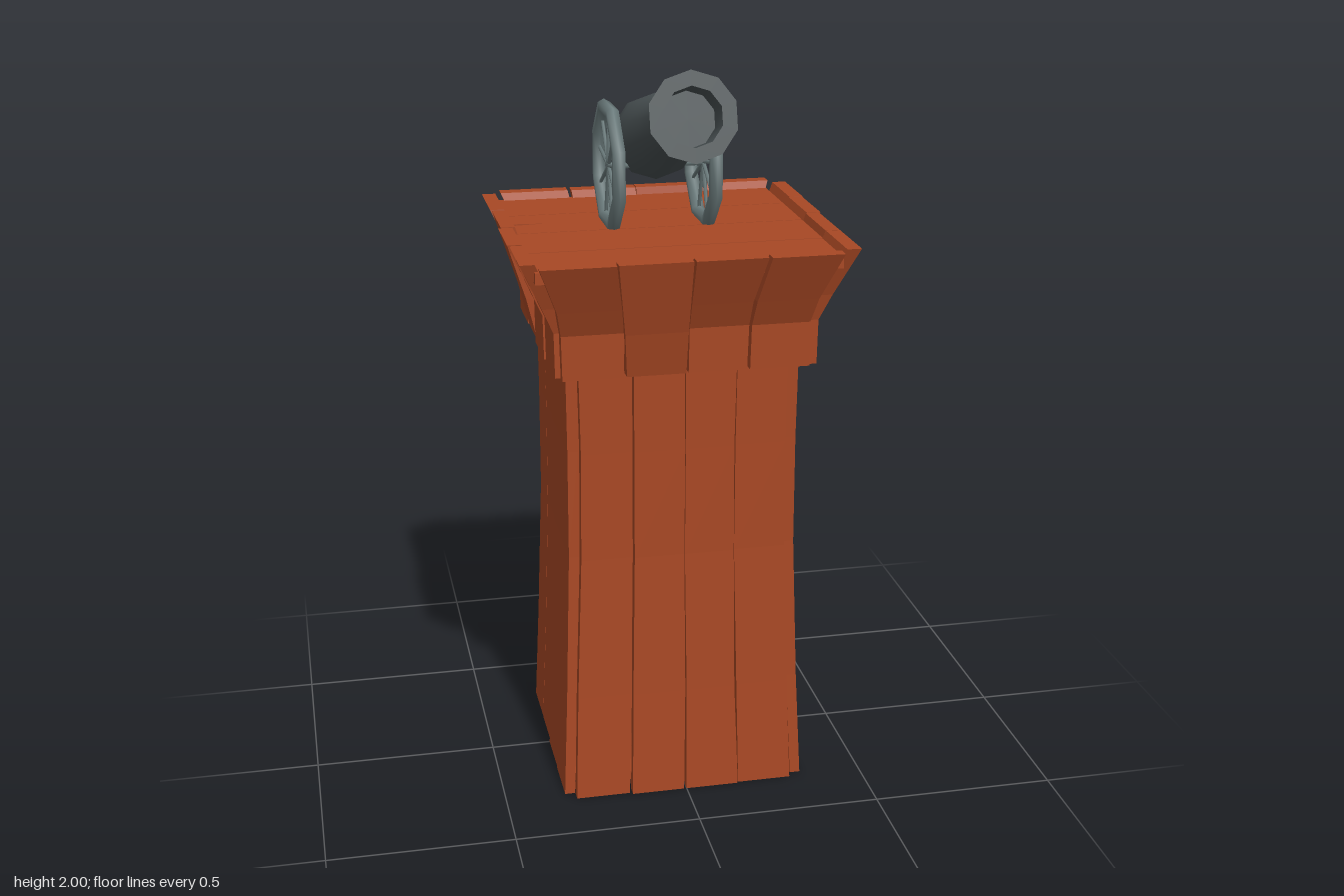
import * as THREE from 'three';
import { toCreasedNormals } from 'three/addons/utils/BufferGeometryUtils.js';

const named = (color, name) => {
  const m = new THREE.MeshStandardMaterial({ color });
  m.name = name;
  return m;
};

// small seeded generator for the uneven plank edges, range -1..1
let seed = 7;
const jitter = (amount) => {
  seed = (seed * 16807) % 2147483647;
  return (seed / 2147483647 * 2 - 1) * amount;
};

function add(parent, geometry, material, name) {
  const mesh = new THREE.Mesh(geometry, material);
  mesh.name = name;
  parent.add(mesh);
  return mesh;
}

// Bent board facing +z; each level is [y, leftX, rightX, outerZ, thickness]
function boardGeometry(levels) {
  const pos = [], idx = [];
  for (const [y, l, r, z, t] of levels) {
    pos.push(l, y, z, r, y, z, r, y, z - t, l, y, z - t);
  }
  for (let k = 0; k < levels.length - 1; k++) {
    for (let i = 0; i < 4; i++) {
      const a = k * 4 + i, b = k * 4 + (i + 1) % 4;
      idx.push(a, b, b + 4, a, b + 4, a + 4);
    }
  }
  const e = (levels.length - 1) * 4;
  idx.push(0, 2, 1, 0, 3, 2, e, e + 1, e + 2, e, e + 2, e + 3);
  const g = new THREE.BufferGeometry();
  g.setAttribute('position', new THREE.Float32BufferAttribute(pos, 3));
  g.setIndex(idx);
  const flat = g.toNonIndexed();
  flat.computeVertexNormals();
  return flat;
}

// Horizontal board from an [x, z] outline, with its top at y
function floorGeometry(outline, y, thickness) {
  const shape = new THREE.Shape(outline.map(([x, z]) => new THREE.Vector2(x, -z)));
  const g = new THREE.ExtrudeGeometry(shape, { depth: thickness, bevelEnabled: false });
  g.rotateX(-Math.PI / 2);
  g.translate(0, y - thickness, 0);
  return g;
}

export function createModel() {
  seed = 7;
  const model = new THREE.Group();
  model.name = 'cannonTower';
  const wood = named(0xa84824, 'reddish wood');
  const iron = named(0x485052, 'dark iron');
  const steel = named(0x6c7c7d, 'grey steel');

  // Tower walls: four sides of four slightly curved planks
  const edges = [-1, -0.5, -0.01, 0.47, 0.96];
  const wallLevels = [[0, 0.312, 0.333], [0.3, 0.298, 0.32], [0.7, 0.284, 0.307], [1.0, 0.282, 0.306], [1.3, 0.286, 0.309]];
  // Crown planks: most have a kink above the lower band, one slopes straight
  const kinked = [[1.22, 0.335, 0.345], [1.34, 0.335, 0.347], [1.41, 0.35, 0.378], [1.54, 0.4, 0.438]];
  const straight = [[1.22, 0.335, 0.343], [1.34, 0.345, 0.372], [1.54, 0.4, 0.435]];

  for (let s = 0; s < 4; s++) {
    const side = new THREE.Group();
    side.name = 'towerSide';
    side.rotation.y = s * Math.PI / 2;
    model.add(side);
    for (let p = 0; p < 4; p++) {
      const lean = jitter(0.004);
      const wall = wallLevels.map(([y, half, out]) => [
        y, edges[p] * half + 0.002 + jitter(0.003), edges[p + 1] * half - 0.002 + jitter(0.003), out + lean, 0.028]);
      add(side, boardGeometry(wall), wood, 'wallPlank');

      const push = jitter(0.005);
      const crown = (p === 1 ? straight : kinked).map(([y, half, out]) => [
        y, edges[p] * half + 0.003 + jitter(0.003), edges[p + 1] * half - 0.003 + jitter(0.003), out + push, 0.038]);
      add(side, boardGeometry(crown), wood, 'crownPlank');
    }
  }

  // Top floor, two boards with split ends
  const rows = [[-0.4, -0.207], [-0.203, -0.009], [-0.005, 0.194], [0.199, 0.39]];
  rows.forEach(([a, b], i) => {
    const outline = [[-0.4, a], [-0.4, b], [0.39, b], [0.39, a]];
    if (i === 1) outline.splice(1, 0, [-0.4, -0.115], [-0.3, -0.106], [-0.4, -0.095]);
    if (i === 3) outline.splice(3, 0, [0.39, 0.385], [0.27, 0.352], [0.39, 0.362]);
    add(model, floorGeometry(outline, 1.52, 0.03), wood, 'topBoard');
    // Bottom floor board
    const c = 0.72;
    add(model, floorGeometry([[-0.3, a * c], [-0.3, b * c], [0.29, b * c], [0.29, a * c]], 0.04, 0.025), wood, 'bottomBoard');
  });

  // Cannon barrel with flared muzzle and hollow bore, from breech to mouth
  const cannon = new THREE.Group();
  cannon.name = 'cannon';
  model.add(cannon);
  const profile = [[0, -0.008], [0.07, 0], [0.1, 0.045], [0.114, 0.11], [0.112, 0.16], [0.1, 0.24], [0.086, 0.34],
    [0.079, 0.42], [0.077, 0.52], [0.115, 0.62], [0.076, 0.62], [0.072, 0.55], [0, 0.55]];
  const barrelGeometry = new THREE.LatheGeometry(profile.map(([r, y]) => new THREE.Vector2(r, y)), 10);
  const barrel = add(cannon, toCreasedNormals(barrelGeometry, 0.75), iron, 'barrel');
  barrel.rotation.x = 1.28;
  barrel.position.set(0, 1.712, -0.217);

  // Octagonal wheels with thin spokes
  for (const x of [-0.13, 0.13]) {
    const wheel = new THREE.Group();
    wheel.name = x > 0 ? 'leftWheel' : 'rightWheel';
    wheel.position.set(x, 1.677, -0.08);
    wheel.rotation.y = Math.PI / 2;
    cannon.add(wheel);
    const rim = add(wheel, new THREE.TorusGeometry(0.163, 0.019, 6, 8), steel, 'rim');
    rim.rotation.z = Math.PI / 8;
    for (let i = 0; i < 9; i++) {
      const g = new THREE.CylinderGeometry(0.005, 0.006, 0.155, 5);
      g.translate(0, 0.0775, 0);
      add(wheel, g, steel, 'spoke').rotation.z = i * Math.PI * 2 / 9;
    }
  }
  const axle = add(cannon, new THREE.CylinderGeometry(0.01, 0.01, 0.27, 6), steel, 'axle');
  axle.rotation.z = Math.PI / 2;
  axle.position.set(0, 1.677, -0.08);

  return model;
}
